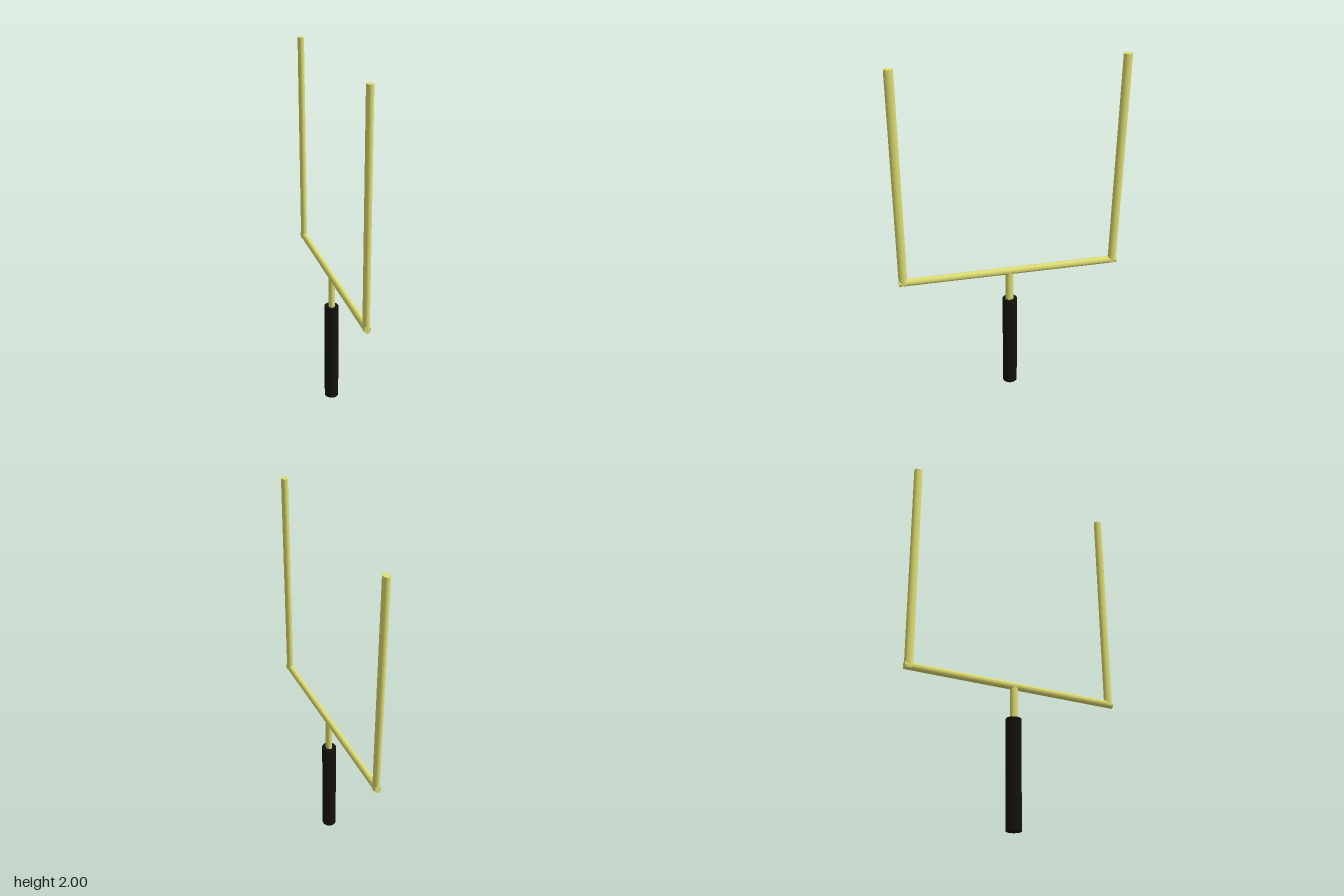
import * as THREE from 'three';

export function createModel() {
  const model = new THREE.Group();
  const yellow = new THREE.MeshStandardMaterial({ color: 0xe0df72 });
  const black = new THREE.MeshStandardMaterial({ color: 0x14120e });

  // Closed tube between two points in the x = 0 plane; rx is its half width
  // across the goal and rs its half thickness along the goal plane.
  function pipe(name, from, to, rx, rs, material) {
    const a = new THREE.Vector3(0, ...from), b = new THREE.Vector3(0, ...to);
    const dir = b.clone().sub(a);
    const geometry = new THREE.CylinderGeometry(1, 1, dir.length(), 24);
    geometry.scale(rx, 1, rs);
    const mesh = new THREE.Mesh(geometry, material);
    mesh.name = name;
    mesh.position.copy(a).add(b).multiplyScalar(0.5);
    mesh.rotation.x = Math.atan2(dir.z, dir.y);
    model.add(mesh);
  }

  // Padded base and the short post above it (points are [y, z])
  pipe('basePadding', [0, 0.004], [0.595, 0.004], 0.04, 0.042, black);
  pipe('post', [0.55, 0.006], [0.775, 0.006], 0.018, 0.023, yellow);

  // Crossbar running front to back
  pipe('crossbar', [0.784, -0.618], [0.78, 0.627], 0.018, 0.021, yellow);

  // Two uprights, both leaning very slightly to the back
  for (const [name, z] of [['frontUpright', 0.604], ['backUpright', -0.594]]) {
    pipe(name, [0.77, z], [2, z - 0.009], 0.018, 0.024, yellow);
  }

  return model;
}
